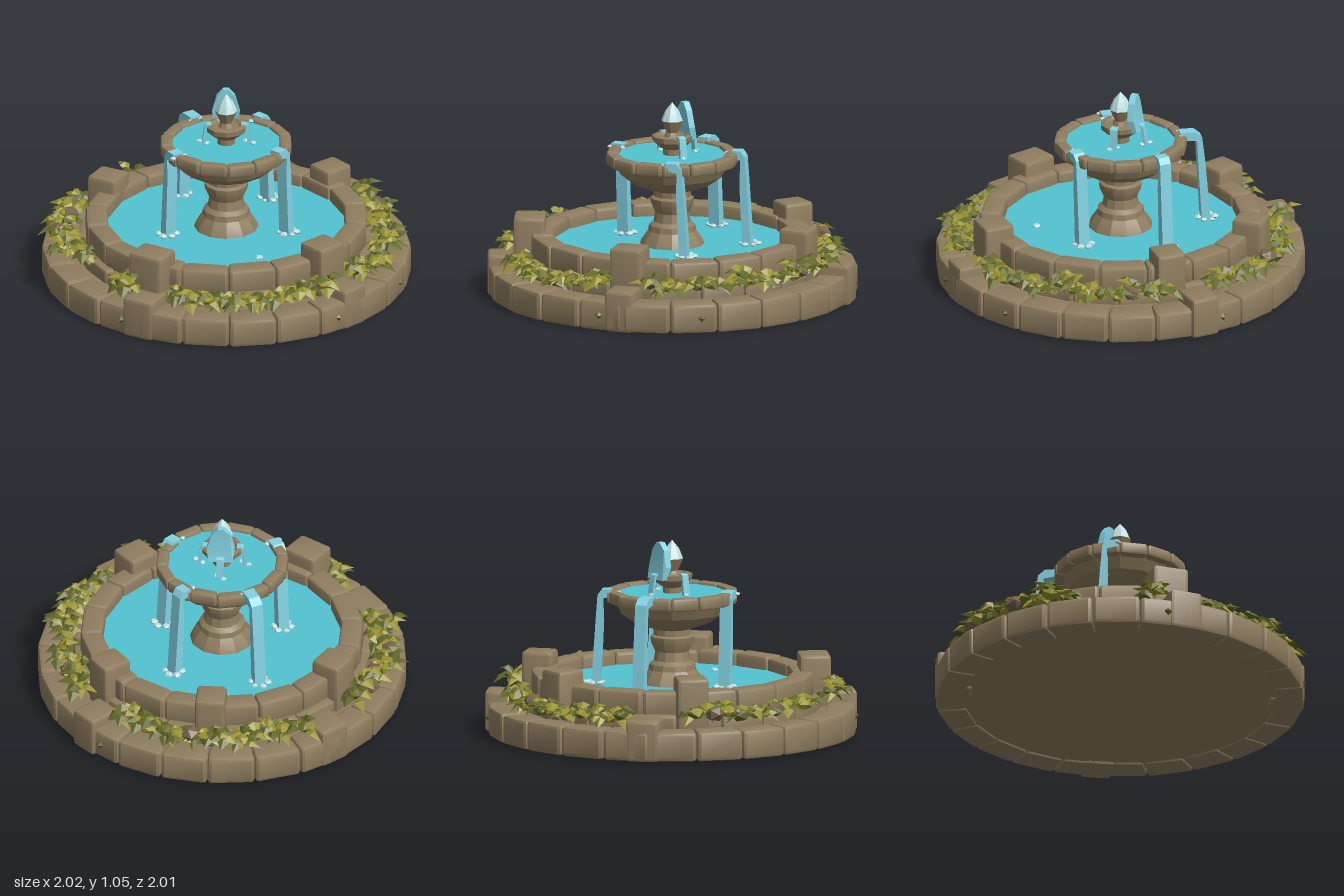
import * as THREE from 'three';
import { mergeGeometries, toCreasedNormals } from 'three/addons/utils/BufferGeometryUtils.js';
import { RoundedBoxGeometry } from 'three/addons/geometries/RoundedBoxGeometry.js';

const mat = (name, color, side = THREE.FrontSide) =>
  Object.assign(new THREE.MeshStandardMaterial({ color, side }), { name });

// Small seeded generator for natural variation
let seed = 7;
const rand = (a, b) => {
  seed = (seed * 16807) % 2147483647;
  return a + (b - a) * (seed / 2147483647);
};

const crease = (geo) => {
  const g = geo.index ? geo.toNonIndexed() : geo;
  g.deleteAttribute('uv');
  return toCreasedNormals(g, 0.4);
};

// One ring of worn stone blocks, each a rounded box bent around the axis
function stoneRing(n, rIn, rOut, y0, y1, bevel) {
  const rMid = (rIn + rOut) / 2, stones = [];
  for (let i = 0; i < n; i++) {
    const h = y1 - y0 + rand(-0.006, 0), grow = rand(-0.008, 0);
    const g = new RoundedBoxGeometry((2 * Math.PI * rMid / n) * 0.995, h, rOut - rIn, 1, bevel);
    const p = g.attributes.position, turn = (i + 0.5) * 2 * Math.PI / n;
    for (let k = 0; k < p.count; k++) {
      const a = turn + p.getX(k) / rMid, r = rMid + p.getZ(k) + grow;
      p.setXYZ(k, r * Math.sin(a), p.getY(k) + y0 + h / 2, r * Math.cos(a));
    }
    stones.push(crease(g));
  }
  return mergeGeometries(stones);
}

const lathe = (pts, sides) =>
  crease(new THREE.LatheGeometry(pts.map(([r, y]) => new THREE.Vector2(r, y)), sides));

// Rounded block facing outward from the axis
function block(x, z, w, d, y0, y1) {
  const g = new RoundedBoxGeometry(w, y1 - y0, d, 1, 0.018);
  g.rotateY(Math.atan2(x, z)).translate(x, (y0 + y1) / 2, z);
  return crease(g);
}

// Falling water: a curved band in side view, given width and turned to its heading
function stream([x0, z0], [x1, z1], top, bottom, width, t) {
  const L = Math.hypot(x1 - x0, z1 - z0), d = top - bottom;
  const s = new THREE.Shape();
  s.moveTo(0, top);
  s.lineTo(L * 0.55, top);
  s.lineTo(L * 0.8, top - d * 0.06);
  s.lineTo(L * 0.92, top - d * 0.35);
  s.lineTo(L + t * 0.4, bottom);
  s.lineTo(L - t * 0.8, bottom);
  s.lineTo(L * 0.92 - t, top - d * 0.35);
  s.lineTo(L * 0.72 - t * 0.4, top - d * 0.1);
  s.lineTo(0, top - t);
  const g = new THREE.ExtrudeGeometry(s, { depth: width, bevelEnabled: false });
  g.translate(0, 0, -width / 2).rotateY(Math.atan2(z0 - z1, x1 - x0)).translate(x0, 0, z0);
  return crease(g);
}

// Folded leaf pointing along +z
function leaf(length, width) {
  const g = new THREE.BufferGeometry();
  g.setAttribute('position', new THREE.Float32BufferAttribute([
    0, 0, 0, -width, 0.02, length * 0.45, 0, 0.035, length * 0.5,
    width, 0.02, length * 0.45, 0, -0.01, length], 3));
  g.setIndex([0, 2, 1, 0, 3, 2, 1, 2, 4, 2, 3, 4]);
  const flat = g.toNonIndexed();
  flat.computeVertexNormals();
  return flat;
}

export function createModel() {
  const group = new THREE.Group();
  group.name = 'fountain';
  const stone = mat('stone', 0x8f7d5f);
  const rock = mat('rock', 0x75644a);
  const water = mat('water', 0x52c3d0);
  const flow = mat('flowingWater', 0x84d2e2, THREE.DoubleSide);
  const foam = mat('foam', 0xbfdfe2);
  const leafLight = mat('leafLight', 0x96902f, THREE.DoubleSide);
  const leafDark = mat('leafDark', 0x626829, THREE.DoubleSide);
  const add = (name, geo, material) => {
    const m = new THREE.Mesh(geo, material);
    m.name = name;
    group.add(m);
    return m;
  };

  // Base, planter step and basin wall
  add('baseFill', crease(new THREE.CylinderGeometry(0.9, 0.9, 0.13, 24).translate(0, 0.085, 0)), stone);
  add('outerRing', stoneRing(24, 0.84, 1.0, 0.005, 0.168, 0.02), stone);
  add('stepRing', stoneRing(20, 0.66, 0.81, 0.1, 0.225, 0.015), stone);
  add('basinWall', stoneRing(18, 0.645, 0.765, 0.2, 0.348, 0.018), stone);
  add('basinWater', new THREE.CircleGeometry(0.68, 32).rotateX(-Math.PI / 2).translate(0, 0.275, 0), water);

  // Posts on the wall and buttresses on the rim
  const posts = [[0, -0.745, 0.16], [-0.63, -0.36, 0.17], [0.57, -0.46, 0.16], [0.51, 0.55, 0.18], [-0.41, 0.65, 0.2]];
  add('posts', mergeGeometries(posts.map(([x, z, w]) => block(x, z, w, 0.17, 0.12, 0.425))), stone);
  const buttresses = [[0.62, 0.65, 0.16], [-0.45, 0.78, 0.18], [0.63, -0.66, 0.16], [-0.61, -0.66, 0.18]];
  add('buttresses', mergeGeometries(buttresses.map(([x, z, w]) => block(x, z, w, 0.19, 0.002, 0.225))), stone);

  // Pedestal and bowl
  add('pedestal', lathe([[0.18, 0.26], [0.165, 0.3], [0.13, 0.35], [0.125, 0.38], [0.1, 0.4],
    [0.092, 0.45], [0.115, 0.5], [0.118, 0.53], [0.1, 0.54], [0.1, 0.6]], 12), stone);
  add('bowl', lathe([[0.08, 0.565], [0.14, 0.585], [0.21, 0.61], [0.28, 0.66], [0.315, 0.73], [0.3, 0.75]], 14), stone);
  add('bowlRim', stoneRing(14, 0.295, 0.36, 0.718, 0.788, 0.014), stone);
  add('bowlWater', new THREE.CircleGeometry(0.31, 28).rotateX(-Math.PI / 2).translate(0, 0.768, 0), water);

  // Small upper bowl and finial
  add('upperBowl', lathe([[0.05, 0.75], [0.05, 0.8], [0.075, 0.815], [0.108, 0.845], [0.11, 0.872],
    [0.085, 0.878], [0.07, 0.865], [0, 0.865]], 10), stone);
  add('finial', lathe([[0.045, 0.86], [0.032, 0.89], [0.06, 0.955]], 8), stone);
  add('finialTip', lathe([[0.06, 0.955], [0.038, 1.01], [0, 1.055]], 8), foam);

  // Arched jet behind the finial, leaning toward the tip
  const arch = new THREE.Shape([[-0.065, 0.85], [0.065, 0.85], [0.075, 0.92], [0.05, 1.01], [0.015, 1.05],
    [-0.015, 1.05], [-0.05, 1.01], [-0.075, 0.92]].map(([x, y]) => new THREE.Vector2(x, y)));
  const jet = new THREE.ExtrudeGeometry(arch, { depth: 0.035, bevelEnabled: false });
  const jp = jet.attributes.position;
  for (let i = 0; i < jp.count; i++) {
    const bow = 4 * jp.getX(i) ** 2;
    jp.setZ(i, jp.getZ(i) - 0.13 + (jp.getY(i) - 0.87) * 0.18 + bow);
  }
  add('jet', crease(jet), flow);

  // Streams from both bowls
  const falls = [[[0.26, 0.18], [0.33, 0.1]], [[-0.26, 0.2], [-0.32, 0.11]],
    [[-0.16, -0.28], [-0.235, -0.41]], [[0.17, -0.28], [0.235, -0.345]]];
  add('lowerStreams', mergeGeometries(falls.map(([a, b]) => stream(a, b, 0.795, 0.275, 0.065, 0.04))), flow);
  const trickles = [[[0.08, 0], [0.125, 0]], [[-0.08, 0], [-0.125, 0]], [[0, -0.08], [0, -0.145]]];
  add('upperStreams', mergeGeometries(trickles.map(([a, b]) => stream(a, b, 0.882, 0.765, 0.04, 0.015))), flow);

  // Foam where the water lands and where it leaves the bowl
  const drops = [];
  const drop = (x, y, z, r) =>
    drops.push(new THREE.IcosahedronGeometry(r, 0).scale(1, 0.6, 1).rotateY(rand(0, 6)).translate(x, y, z));
  for (const [a, b] of falls) {
    for (let i = 0; i < 6; i++) drop(b[0] + 0.045 * Math.cos(i * 1.05), 0.283, b[1] + 0.045 * Math.sin(i * 1.05), rand(0.014, 0.026));
    for (const s of [-1, 1]) drop(a[0] + s * 0.03, 0.775, a[1] - s * 0.02, 0.018);
  }
  for (const [, b] of trickles) for (const s of [-1, 1]) drop(b[0] + s * 0.02, 0.772, b[1] + s * 0.015, 0.018);
  drop(0.17, 0.277, 0.42, 0.024);
  add('foam', mergeGeometries(drops), foam);

  // Planting: leafy clumps along arcs, in degrees from the front toward the model's left
  const light = [], dark = [], pebbles = [];
  const arcs = [[-22, 38], [50, 127], [143, 217], [238, 292], [316, 323]];
  for (const [from, to] of arcs) {
    const count = Math.max(2, Math.round((to - from) / 5.5));
    for (let i = 0; i < count; i++) {
      const a = (from + (to - from) * (i + 0.5) / count) * Math.PI / 180;
      const r = rand(0.82, 0.91), x = r * Math.sin(a), z = r * Math.cos(a);
      const y = 0.2 + (Math.abs(x) > 0.5 ? rand(0.02, 0.06) : rand(0, 0.02));
      for (let k = 0; k < 9; k++) {
        const g = leaf(rand(0.075, 0.12), rand(0.025, 0.042));
        g.rotateX(rand(-0.5, 0.3)).rotateY(k * 0.75 + rand(-0.3, 0.3));
        g.translate(x + rand(-0.025, 0.025), y + rand(-0.025, 0.025), z + rand(-0.025, 0.025));
        (k % 5 < 2 ? light : dark).push(g);
      }
      const bud = new THREE.IcosahedronGeometry(rand(0.035, 0.055), 0);
      bud.deleteAttribute('uv');
      bud.scale(1, 0.75, 1).rotateY(rand(0, 6)).translate(x, y + 0.01, z);
      (i % 3 ? light : dark).push(bud);
    }
  }
  // Leaves hanging over the rim
  for (const deg of [37, 70, 143, 324]) {
    const a = deg * Math.PI / 180;
    dark.push(leaf(0.09, 0.02).rotateX(1.5).rotateY(a).translate(0.97 * Math.sin(a), 0.13, 0.97 * Math.cos(a)));
  }
  add('lightLeaves', mergeGeometries(light), leafLight);
  add('darkLeaves', mergeGeometries(dark), leafDark);

  // Loose rocks among the plants
  for (const [x, z] of [[-0.83, -0.35], [-0.91, -0.01], [0.8, -0.34], [0.1, -0.87], [-0.84, -0.22]])
    pebbles.push(new THREE.IcosahedronGeometry(0.055, 0).scale(1, 0.8, 1).rotateY(rand(0, 6)).translate(x, 0.25, z));
  add('rocks', mergeGeometries(pebbles), rock);

  return group;
}
